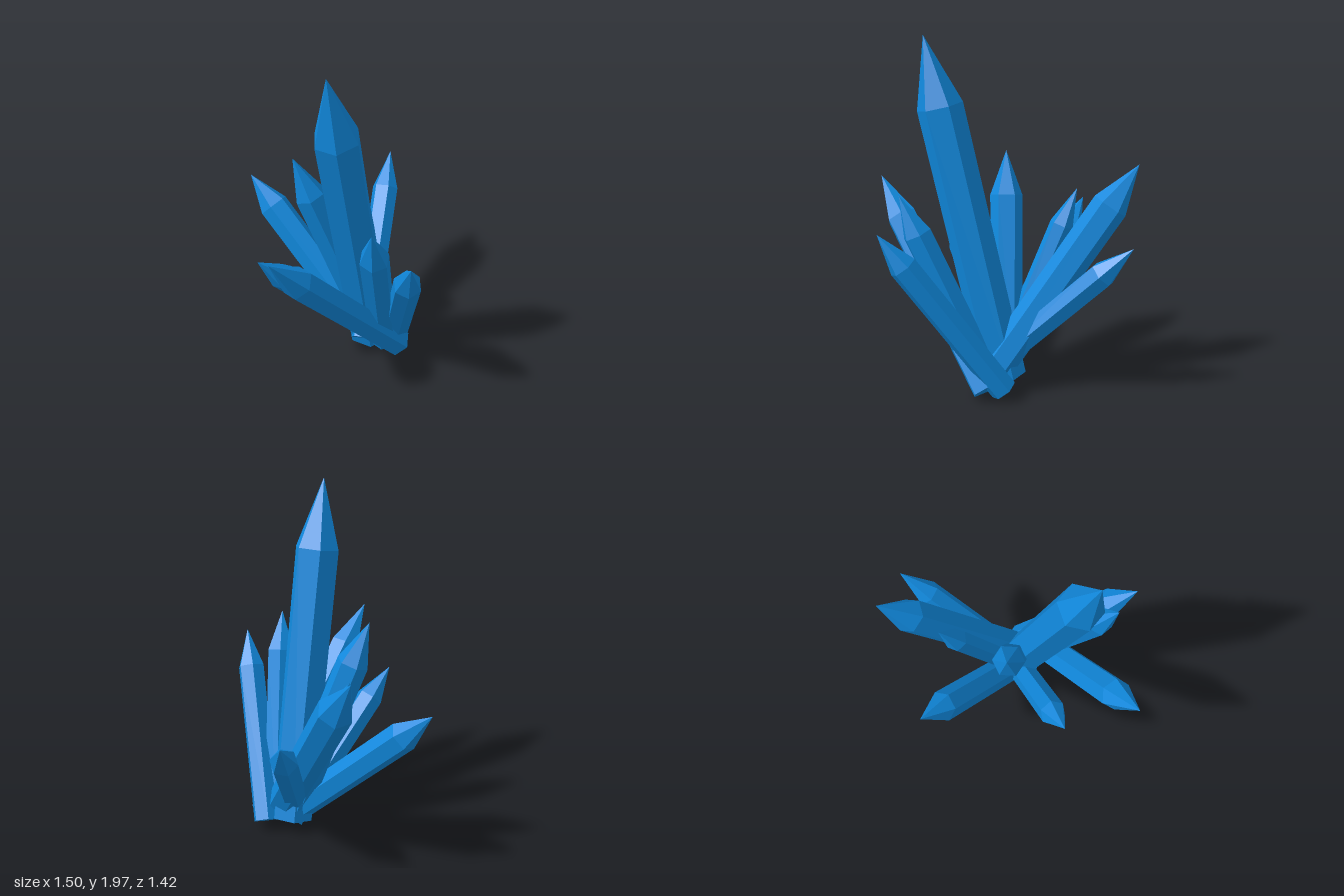
import * as THREE from 'three';

// Each crystal: name, base centre, tip, radius, roll about its own axis (degrees)
const CRYSTALS = [
  ['mainCrystal', [0.17, 0.09, 0.10], [-0.33, 2.00, 0.25], 0.13, 15],
  ['rightLeaningCrystal', [0.22, 0.08, 0.27], [-0.75, 1.10, 0.26], 0.092, 0],
  ['rightLowCrystal', [0.20, 0.10, 0.08], [-0.54, 0.85, -0.08], 0.078, 10],
  ['frontCrystal', [0.28, 0.08, 0.20], [-0.17, 1.01, 0.71], 0.08, 20],
  ['frontInnerCrystal', [0.17, 0.10, 0.21], [-0.25, 1.16, 0.50], 0.085, 5],
  ['backLeftCrystal', [0.17, 0.17, 0.16], [0.52, 1.30, -0.58], 0.102, 10],
  ['leftCrystal', [0.07, 0.11, 0.14], [0.75, 0.94, -0.31], 0.078, 25],
  ['backCrystal', [0.13, 0.14, 0.09], [-0.04, 0.93, -0.71], 0.09, 15],
  ['backSmallCrystal', [0.12, 0.12, 0.08], [0.25, 1.14, -0.37], 0.068, 0],
  ['backInnerCrystal', [0.19, 0.11, 0.10], [-0.16, 1.30, -0.20], 0.092, 20],
];

export function createModel() {
  const model = new THREE.Group();
  model.name = 'crystalCluster';
  const blue = new THREE.MeshStandardMaterial({ color: 0x1088dc, flatShading: true });
  blue.name = 'crystalBlue';
  const up = new THREE.Vector3(0, 1, 0);

  for (const [name, base, tip, radius, roll] of CRYSTALS) {
    const start = new THREE.Vector3(...base);
    const axis = new THREE.Vector3(...tip).sub(start);
    const length = axis.length();

    // Six-sided column with a closed base and a pointed top
    const profile = [
      [0, 0], [radius * 0.97, 0], [radius, length * 0.8], [0, length],
    ].map(([r, y]) => new THREE.Vector2(r, y));
    const geometry = new THREE.LatheGeometry(profile, 6);
    geometry.rotateY(THREE.MathUtils.degToRad(roll));

    const crystal = new THREE.Mesh(geometry, blue);
    crystal.name = name;
    crystal.position.copy(start);
    crystal.quaternion.setFromUnitVectors(up, axis.normalize());
    model.add(crystal);
  }
  return model;
}
